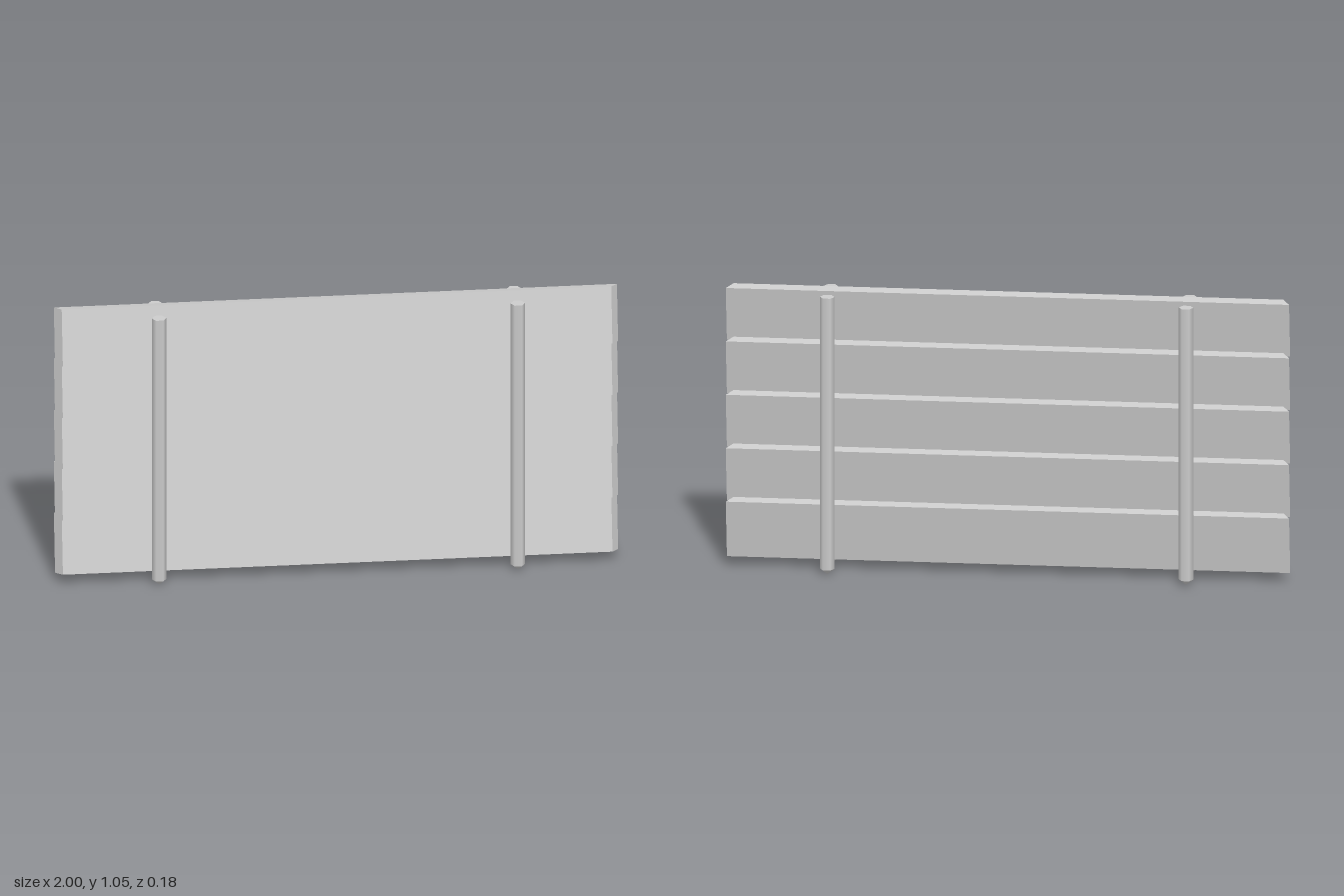
import * as THREE from 'three';

const material = new THREE.MeshStandardMaterial({ color: 0xcccccc });
const TILT = 0.19;
const THICKNESS = 0.038;

// Plank whose ends are cut so the front face is shorter than the back
function plankGeometry(height) {
  const geometry = new THREE.BoxGeometry(2, height, THICKNESS);
  const pos = geometry.attributes.position;
  for (let i = 0; i < pos.count; i++) {
    if (pos.getZ(i) > 0) pos.setX(i, Math.sign(pos.getX(i)) * 0.976);
  }
  geometry.computeVertexNormals();
  return geometry;
}

// Six-sided stake with a pointed foot
function createStake() {
  const radius = 0.026, tip = 0.02, top = 1.025;
  const stake = new THREE.Group();
  const shaft = new THREE.Mesh(
    new THREE.CylinderGeometry(radius, radius, top - tip, 6, 1, false, Math.PI / 2), material);
  shaft.name = 'stakeShaft';
  shaft.position.y = (top + tip) / 2;
  const point = new THREE.Mesh(
    new THREE.CylinderGeometry(radius, 0, tip, 6, 1, true, Math.PI / 2), material);
  point.name = 'stakePoint';
  point.position.y = tip / 2;
  stake.add(shaft, point);
  return stake;
}

export function createModel() {
  const model = new THREE.Group();
  model.name = 'plankFence';

  // Overlapping tilted planks, the lowest one slightly taller
  for (let i = 0; i < 5; i++) {
    const extra = i === 0 ? 0.011 : 0;
    const plank = new THREE.Mesh(plankGeometry(0.207 + extra), material);
    plank.name = `plank${i + 1}`;
    plank.position.set(0, 0.15 + i * 0.1975 - (extra / 2) * Math.cos(TILT), (extra / 2) * Math.sin(TILT));
    plank.rotation.x = -TILT;
    model.add(plank);
  }

  // Stakes in pairs, in front of and behind the planks
  for (const [side, x] of [['left', 0.637], ['right', -0.637]]) {
    for (const [place, z] of [['Front', 0.065], ['Back', -0.065]]) {
      const stake = createStake();
      stake.name = `${side}${place}Stake`;
      stake.position.set(x, 0, z);
      model.add(stake);
    }
  }
  return model;
}
